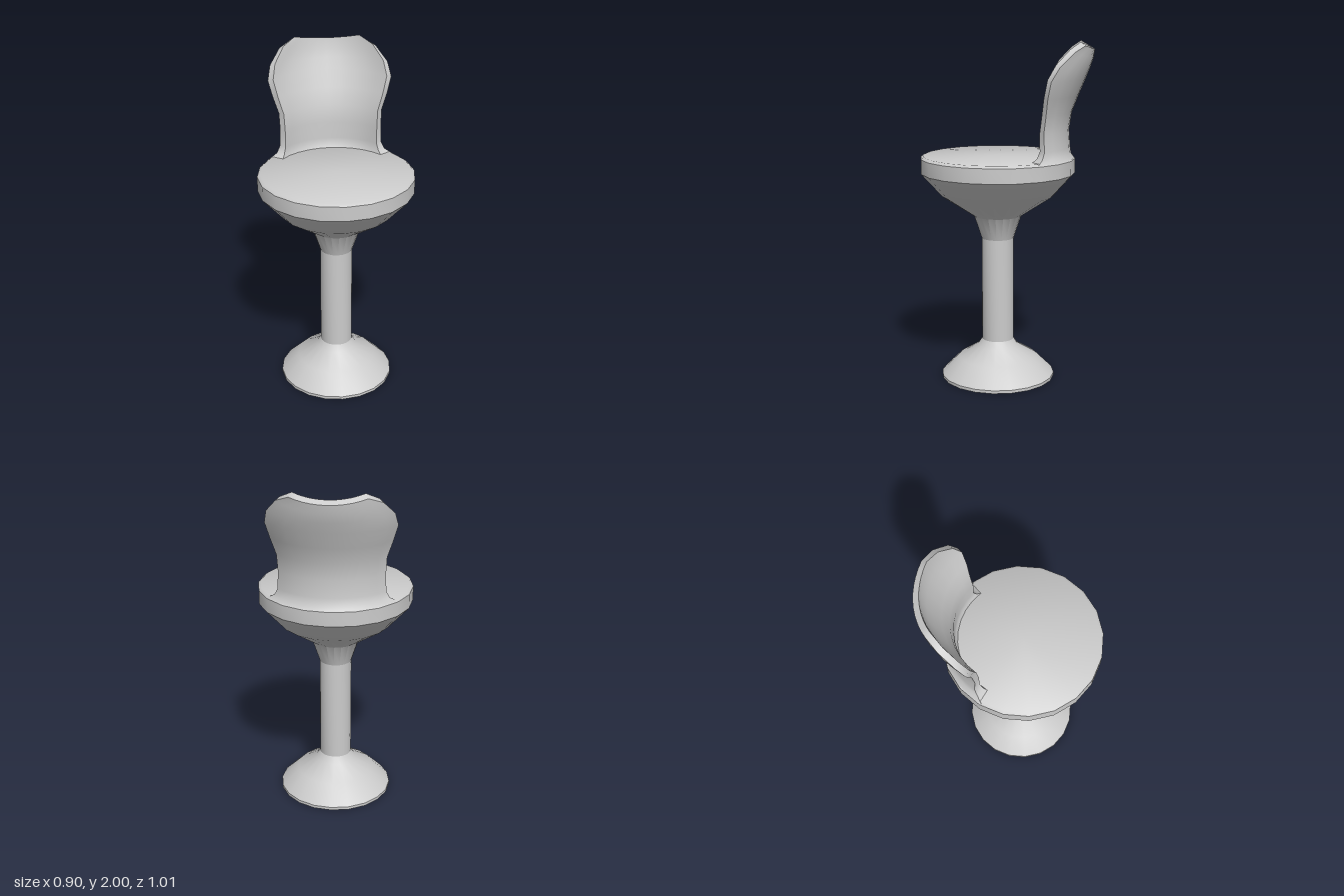
import * as THREE from 'three';
import { toCreasedNormals } from 'three/addons/utils/BufferGeometryUtils.js';

const SEAT_Z = 0.05;
const COLUMNS = 11;

function addMesh(group, name, geometry, crease) {
  const material = new THREE.MeshStandardMaterial({ color: 0xcccccc });
  const mesh = new THREE.Mesh(toCreasedNormals(geometry, crease), material);
  mesh.name = name;
  group.add(mesh);
  return mesh;
}

// 20-sided turned part from [radius, height] points, bottom to top
function turned(points) {
  return new THREE.LatheGeometry(points.map(([r, y]) => new THREE.Vector2(r, y)), 20);
}

// Curved shell: each row is a closed ring, inner arc then outer arc
function backrestGeometry() {
  // height, half width, inner centre z, inner radius, thickness, dip at middle, outer drop
  const rows = [
    [1.335, 0.295, -0.31, 0.36, 0.086, 0, 0],
    [1.36, 0.28, -0.325, 0.36, 0.053, 0, 0],
    [1.4, 0.27, -0.33, 0.36, 0.042, 0, 0],
    [1.5, 0.27, -0.328, 0.36, 0.037, 0, 0],
    [1.6, 0.275, -0.343, 0.365, 0.037, 0, 0],
    [1.7, 0.305, -0.38, 0.385, 0.037, 0, 0.005],
    [1.8, 0.33, -0.42, 0.405, 0.037, 0, 0.01],
    [1.88, 0.315, -0.445, 0.405, 0.036, 0.015, 0.012],
    [1.96, 0.26, -0.465, 0.4, 0.034, 0.04, 0.015],
    [2.0, 0.19, -0.475, 0.39, 0.032, 0.025, 0.02],
  ];
  const ring = COLUMNS * 2;
  const positions = [];
  const index = [];
  for (const [y, half, z, r, thick, dip, drop] of rows) {
    const reach = Math.asin(half / r);
    for (let k = 0; k < ring; k++) {
      const outer = k >= COLUMNS;
      const u = (outer ? ring - 1 - k : k) / (COLUMNS - 1) * 2 - 1;
      const radius = outer ? r + thick : r;
      const centre = outer ? z - thick : z;
      positions.push(
        radius * Math.sin(u * reach),
        y - dip * (1 - u * u) - (outer ? drop : 0),
        centre + radius * (1 - Math.cos(u * reach)),
      );
    }
  }
  for (let i = 0; i < rows.length - 1; i++) {
    for (let k = 0; k < ring; k++) {
      const a = i * ring + k;
      const b = i * ring + (k + 1) % ring;
      index.push(a, b, b + ring, a, b + ring, a + ring);
    }
  }
  // Top edge
  const top = (rows.length - 1) * ring;
  for (let k = 0; k < COLUMNS - 1; k++) {
    const a = top + k;
    const d = top + ring - 1 - k;
    index.push(a, a + 1, d - 1, a, d - 1, d);
  }
  const geometry = new THREE.BufferGeometry();
  geometry.setAttribute('position', new THREE.Float32BufferAttribute(positions, 3));
  geometry.setIndex(index);
  return geometry;
}

export function createModel() {
  const group = new THREE.Group();
  group.name = 'barStool';

  // Flared foot
  addMesh(group, 'foot', turned([
    [0, 0], [0.338, 0], [0.338, 0.018], [0.235, 0.12], [0.12, 0.19], [0.095, 0.23],
  ]), 0.7).position.z = SEAT_Z;

  // Column
  addMesh(group, 'column', turned([[0.095, 0.23], [0.095, 0.85]]), 0.7).position.z = SEAT_Z;

  // Seat with funnel underside and bevelled rim
  addMesh(group, 'seat', turned([
    [0.095, 0.85], [0.14, 0.985], [0.33, 1.11], [0.452, 1.245],
    [0.452, 1.33], [0.435, 1.343], [0, 1.343],
  ]), 0.7).position.z = SEAT_Z;

  // Backrest
  addMesh(group, 'backrest', backrestGeometry(), 0.75);

  return group;
}
